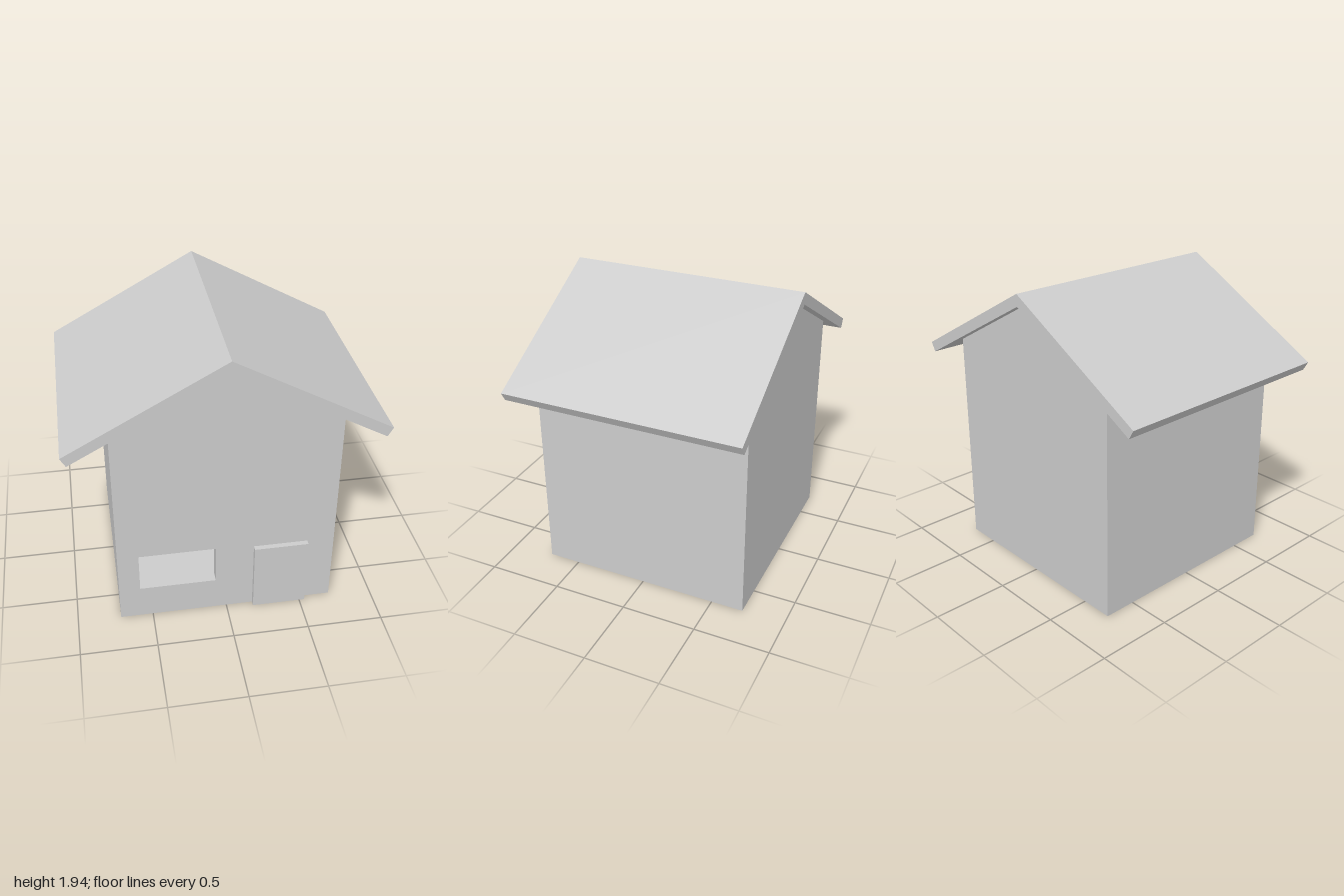
import * as THREE from 'three';

const HALF = 0.715;   // half width and depth of the house
const WALL = 0.07;    // wall thickness
const EAVE = 1.467;   // wall height at the sides
const APEX = 1.86;    // gable peak under the roof

export function createModel() {
  const house = new THREE.Group();
  house.name = 'house';
  const material = new THREE.MeshStandardMaterial({ color: 0xcccccc, flatShading: true });

  const add = (name, geometry) => {
    const mesh = new THREE.Mesh(geometry, material);
    mesh.name = name;
    house.add(mesh);
    return mesh;
  };

  // Box given by its minimum and maximum corners
  const box = (name, x0, x1, y0, y1, z0, z1) =>
    add(name, new THREE.BoxGeometry(x1 - x0, y1 - y0, z1 - z0)
      .translate((x0 + x1) / 2, (y0 + y1) / 2, (z0 + z1) / 2));

  const outline = (points) => new THREE.Shape(points.map(([x, y]) => new THREE.Vector2(x, y)));

  // Extrudes a front-facing shape from z0 to z1
  const slab = (name, shape, z0, z1) =>
    add(name, new THREE.ExtrudeGeometry(shape, { depth: z1 - z0, bevelEnabled: false })
      .translate(0, 0, z0));

  // Gable walls, the front one with a window opening
  const gable = () => outline([[-HALF, 0], [HALF, 0], [HALF, EAVE], [0, APEX], [-HALF, EAVE]]);
  const front = gable();
  front.holes.push(new THREE.Path(
    [[-0.577, 0.238], [-0.577, 0.515], [-0.073, 0.515], [-0.073, 0.238]]
      .map(([x, y]) => new THREE.Vector2(x, y))));
  slab('frontWall', front, HALF - WALL, HALF);
  slab('backWall', gable(), -HALF, -HALF + WALL);

  // Side walls between the gables
  const inner = HALF - WALL;
  box('leftWall', inner, HALF, 0, EAVE, -inner, inner);
  box('rightWall', -HALF, -inner, 0, EAVE, -inner, inner);

  // Floor
  box('floor', -inner, inner, 0, 0.008, -inner, inner);

  // Pitched roof with overhang and square-cut eaves
  slab('roof', outline([
    [0, 1.94], [-1, 1.39], [-0.966, 1.33], [0, APEX], [0.966, 1.33], [1, 1.39],
  ]), -0.783, 0.783);

  // Door panel standing proud of the front wall
  box('door', 0.178, 0.536, 0, 0.5, HALF, 0.75);

  // Furniture seen through the window
  box('benchSeat', -inner, -0.505, 0.008, 0.14, -inner, -0.34);
  box('benchBack', -inner, -0.622, 0.14, 0.34, -inner, -0.34);
  box('lowTable', -0.4, -0.22, 0.008, 0.1, -0.55, -0.4);

  return house;
}
